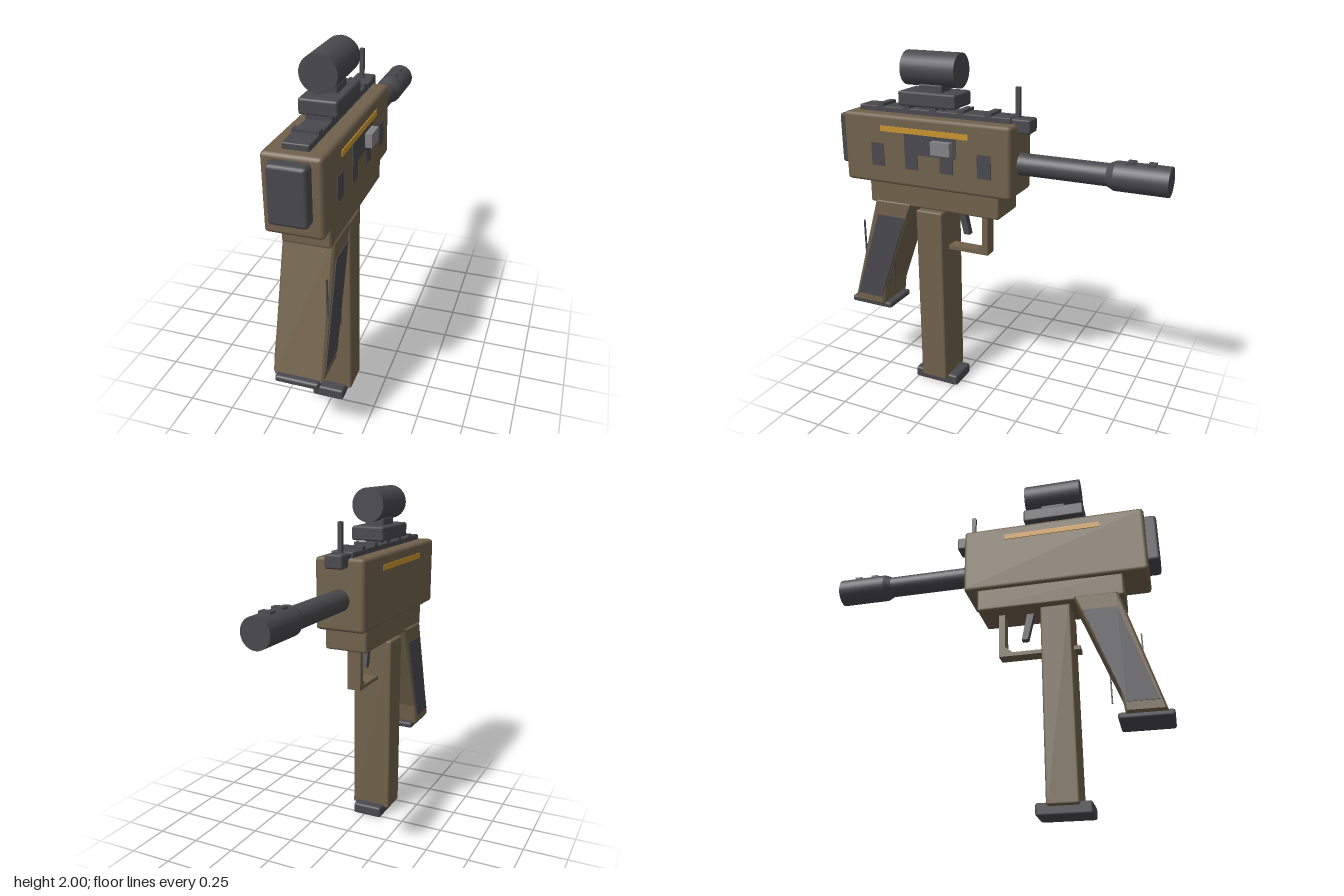
import * as THREE from 'three';
import { RoundedBoxGeometry } from 'three/addons/geometries/RoundedBoxGeometry.js';

const MID = -0.02; // x of the centre plane

export function createModel() {
  const model = new THREE.Group();
  const material = (name, color) => {
    const m = new THREE.MeshStandardMaterial({ color });
    m.name = name;
    return m;
  };
  const brown = material('brown', 0x70614b);
  const dark = material('dark grey', 0x49484d);
  const gold = material('gold', 0xc8922e);
  const steel = material('light grey', 0x828287);

  const add = (name, geometry, mat) => {
    const mesh = new THREE.Mesh(geometry, mat);
    mesh.name = name;
    model.add(mesh);
    return mesh;
  };
  // Box from its limits, with optionally softened edges
  const box = (name, mat, [x0, x1], [y0, y1], [z0, z1], r = 0) => {
    const size = [x1 - x0, y1 - y0, z1 - z0];
    const g = r ? new RoundedBoxGeometry(...size, 1, r) : new THREE.BoxGeometry(...size);
    g.translate((x0 + x1) / 2, (y0 + y1) / 2, (z0 + z1) / 2);
    return add(name, g, mat);
  };
  // Side profile given as [z, y] points, extruded across x
  const profile = (name, mat, points, [x0, x1], bevel = 0) => {
    const shape = new THREE.Shape(points.map(([z, y]) => new THREE.Vector2(-z, y)));
    const g = new THREE.ExtrudeGeometry(shape, {
      depth: x1 - x0 - 2 * bevel, bevelEnabled: bevel > 0, bevelSegments: 1,
      bevelSize: bevel, bevelThickness: bevel, bevelOffset: -bevel,
    });
    g.translate(0, 0, x0 + bevel).rotateY(Math.PI / 2);
    return add(name, g, mat);
  };
  // Cylinder lying along z, r0 at z0 (rear) and r1 at z1 (muzzle side)
  const tube = (name, r0, r1, z0, z1, y) => {
    const g = new THREE.CylinderGeometry(r0, r1, z0 - z1, 32);
    g.rotateX(Math.PI / 2).translate(MID, y, (z0 + z1) / 2);
    return add(name, g, dark);
  };

  // Body
  box('receiver', brown, [-0.165, 0.125], [1.265, 1.66], [-0.145, 0.885], 0.02);
  box('lowerReceiver', brown, [-0.145, 0.105], [1.14, 1.28], [-0.07, 0.745], 0.012);
  box('rearCap', dark, [-0.115, 0.075], [1.345, 1.635], [0.86, 0.95], 0.018);

  // Barrel and muzzle
  tube('barrel', 0.06, 0.06, -0.13, -0.64, 1.436);
  tube('muzzleTaper', 0.06, 0.078, -0.63, -0.67, 1.436);
  tube('muzzle', 0.078, 0.078, -0.67, -0.95, 1.436);
  for (const z of [-0.745, -0.85]) {
    box('muzzlePort', dark, [-0.052, 0.012], [1.49, 1.519], [z - 0.02, z + 0.02]);
  }

  // Top rail with cross ribs
  box('rail', dark, [-0.085, 0.045], [1.65, 1.69], [-0.11, 0.825], 0.006);
  for (let i = 0; i < 5; i++) {
    const z = 0.02 + i * 0.166;
    box('railRib', dark, [-0.085, 0.045], [1.68, 1.706], [z - 0.02, z + 0.02]);
  }

  // Front sight
  box('sightBase', dark, [-0.072, 0.032], [1.61, 1.685], [-0.215, -0.1], 0.01);
  box('sightPost', dark, [-0.031, -0.009], [1.67, 1.845], [-0.139, -0.115]);

  // Scope
  box('scopeFoot', dark, [-0.06, 0.02], [1.685, 1.72], [0.3, 0.45]);
  box('scopeMount', dark, [-0.118, 0.077], [1.71, 1.79], [0.198, 0.55], 0.012);
  box('scopeRiser', dark, [-0.078, 0.038], [1.78, 1.83], [0.295, 0.44], 0.01);
  tube('scope', 0.094, 0.094, 0.532, 0.205, 1.906);

  // Grip with side panels and end plate
  profile('grip', brown,
    [[0.71, 1.16], [0.91, 0.475], [0.7, 0.475], [0.685, 0.6], [0.47, 1.16]], [-0.155, 0.11], 0.012);
  for (const x of [-0.16, 0.106]) {
    profile('gripPanel', dark, [[0.7, 1.065], [0.875, 0.53], [0.71, 0.53], [0.52, 1.065]], [x, x + 0.009]);
  }
  box('gripBase', dark, [-0.135, 0.095], [0.45, 0.486], [0.66, 0.94], 0.012);
  box('rearGripPin', dark, [0.098, 0.106], [0.79, 1.012], [0.801, 0.809]);
  box('frontGripPin', dark, [0.098, 0.106], [0.62, 0.84], [0.616, 0.624]);

  // Magazine
  box('magazine', brown, [-0.14, 0.1], [0.045, 1.125], [0.285, 0.45], 0.01);
  box('magazineBase', dark, [-0.11, 0.07], [0, 0.065], [0.225, 0.51], 0.012);

  // Trigger and guard
  profile('trigger', dark, [[0.235, 1.15], [0.195, 0.985], [0.16, 0.985], [0.195, 1.15]], [-0.04, 0]);
  box('guardBar', brown, [-0.06, 0.02], [0.885, 0.907], [0.036, 0.485]);
  box('guardPost', brown, [-0.06, 0.02], [0.885, 1.15], [0.036, 0.07]);
  profile('guardBrace', brown, [[0.07, 0.945], [0.115, 0.905], [0.085, 0.89], [0.04, 0.925]], [-0.055, 0.015]);

  // Painted side details on the left flank
  for (const z of [0.665, 0.448, 0.23, 0.005]) {
    box('sideSlot', dark, [0.122, 0.129], [1.37, 1.5], [z - 0.04, z + 0.04]);
  }
  box('ejectionPort', dark, [0.122, 0.13], [1.457, 1.57], [0.172, 0.488]);
  box('bolt', steel, [0.12, 0.167], [1.478, 1.55], [0.19, 0.305]);

  // Stripes on both flanks
  for (const x of [-0.17, 0.123]) {
    box('stripe', gold, [x, x + 0.007], [1.57, 1.601], [0.098, 0.64]);
  }
  return model;
}
